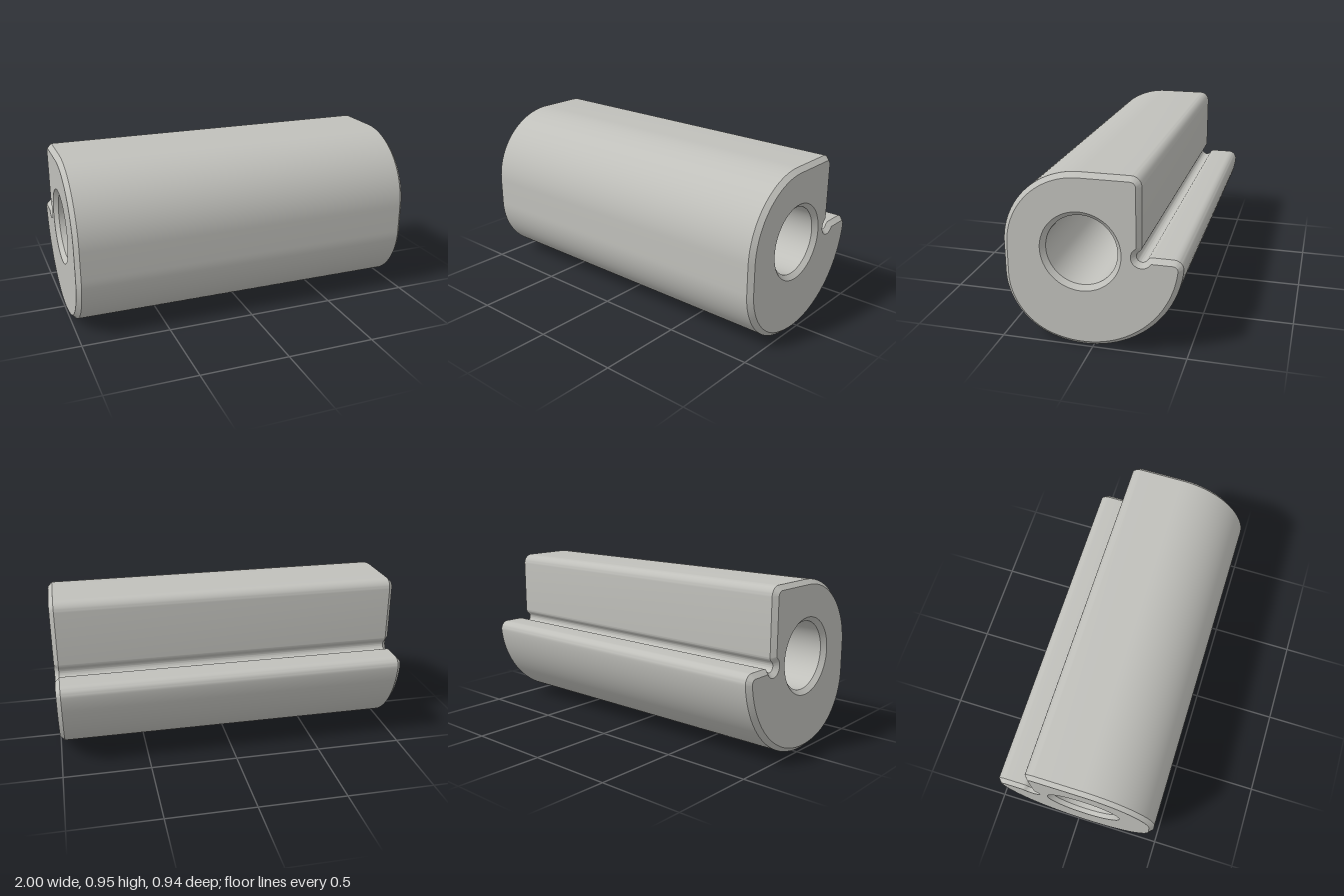
import * as THREE from 'three';
import { toCreasedNormals } from 'three/addons/utils/BufferGeometryUtils.js';

const CHAMFER = 0.025;
const BORE_X = -0.057, BORE_Y = 0.531;

// Points along an arc, angles in degrees; the start can be skipped where arcs meet
function arc(cx, cy, r, from, to, n, skipStart = false) {
  const pts = [];
  for (let i = skipStart ? 1 : 0; i <= n; i++) {
    const a = THREE.MathUtils.degToRad(from + (to - from) * i / n);
    pts.push(new THREE.Vector2(cx + r * Math.cos(a), cy + r * Math.sin(a)));
  }
  return pts;
}

export function createModel() {
  const group = new THREE.Group();
  group.name = 'steppedRoller';
  const metal = new THREE.MeshStandardMaterial({ color: 0xc0c0bb });
  metal.name = 'light grey metal';

  // Cross-section: rounded body with a stepped notch and a relief groove
  const profile = new THREE.Shape([
    ...arc(BORE_X, BORE_Y, 0.416, 180, 90, 32),               // upper front
    ...arc(0.203, 0.892, 0.055, 90, 0, 10),                   // top corner
    ...arc(0.2263, 0.581, 0.0317, 0, -55.8, 6),               // groove upper lip
    ...arc(0.26, 0.53, 0.03, 124.2, 329, 20, true),           // relief groove
    ...arc(0.313, 0.498, 0.0317, 149, 90, 6, true),           // groove lower lip
    ...arc(0.42, 0.48, 0.05, 90, -6, 10),                     // ledge corner
    ...arc(BORE_X, 0.53, 0.53, -6, -107.2, 44, true),         // large lower sweep
    ...arc(-0.105, 0.375, 0.368, -107.2, -180, 26, true),     // lower front
  ]);
  profile.holes.push(new THREE.Path(arc(BORE_X, BORE_Y, 0.19, 0, 354.375, 63)));

  // Extruded along the length, with chamfers on both ends and the bore
  const geometry = new THREE.ExtrudeGeometry(profile, {
    depth: 2 - 2 * CHAMFER,
    bevelEnabled: true,
    bevelSegments: 1,
    bevelThickness: CHAMFER,
    bevelSize: CHAMFER,
    bevelOffset: -CHAMFER,
  });
  geometry.translate(0, 0, -(1 - CHAMFER));
  geometry.rotateY(Math.PI / 2);

  const body = new THREE.Mesh(toCreasedNormals(geometry, 0.55), metal);
  body.name = 'notchedBody';
  group.add(body);
  return group;
}
